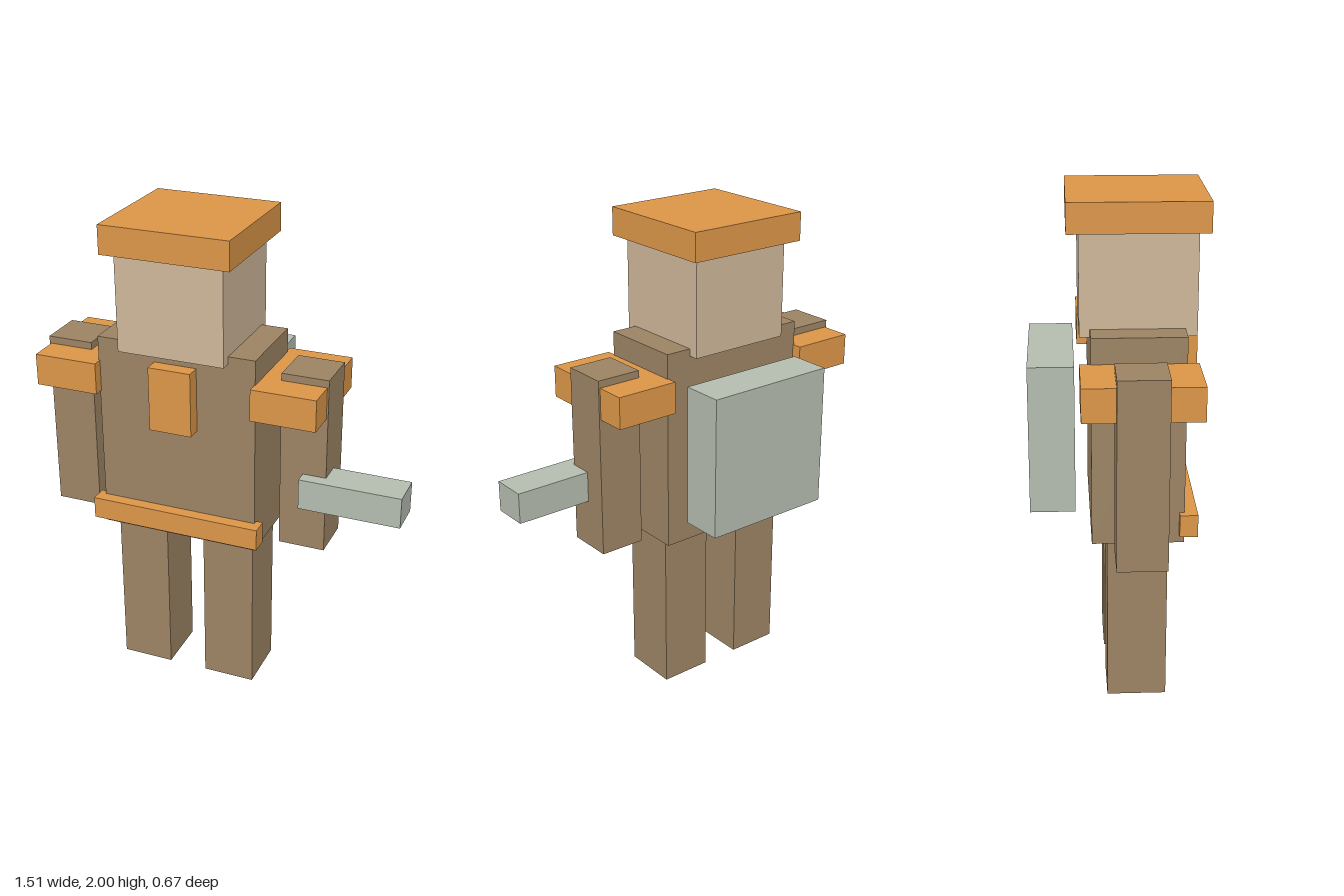
import * as THREE from 'three';

const CX = -0.16; // body centre line; the held tool reaches out to +x

export function createModel() {
  const group = new THREE.Group();
  const mat = (color) => new THREE.MeshStandardMaterial({ color, flatShading: true });
  const cloth = mat(0x9c8464), skin = mat(0xcfb799), orange = mat(0xdc9648), metal = mat(0xb4bcaf);

  // Box given by its extents on each axis
  const box = (name, material, [x0, x1], [y0, y1], [z0, z1]) => {
    const mesh = new THREE.Mesh(new THREE.BoxGeometry(x1 - x0, y1 - y0, z1 - z0), material);
    mesh.position.set((x0 + x1) / 2, (y0 + y1) / 2, (z0 + z1) / 2);
    mesh.name = name;
    group.add(mesh);
  };
  // Box centred on the body, given by its half width
  const centred = (name, material, half, y, z) => box(name, material, [CX - half, CX + half], y, z);

  // Torso, head and cap
  centred('torso', cloth, 0.33, [0.695, 1.52], [-0.105, 0.25]);
  centred('head', skin, 0.22, [1.49, 1.89], [-0.145, 0.295]);
  centred('cap', orange, 0.262, [1.885, 2], [-0.19, 0.335]);

  // Trim on the front, pack on the back
  centred('chestBadge', orange, 0.088, [1.185, 1.45], [0.23, 0.31]);
  centred('belt', orange, 0.358, [0.73, 0.82], [0.23, 0.3]);
  centred('backpack', metal, 0.28, [0.81, 1.395], [-0.34, -0.165]);

  // Mirrored limbs and shoulder pads
  for (const [side, s] of [['left', 1], ['right', -1]]) {
    const span = (a, b) => (s > 0 ? [CX + a, CX + b] : [CX - b, CX - a]);
    box(side + 'Leg', cloth, span(0.082, 0.3), [0, 0.7], [-0.045, 0.19]);
    box(side + 'Arm', cloth, span(0.405, 0.595), [0.71, 1.45], [-0.022, 0.168]);
    box(side + 'ShoulderPad', orange, span(0.325, 0.588), [1.29, 1.42], [-0.147, 0.293]);
  }

  // Tool held in the left arm
  box('heldTool', metal, [0.34, 0.753], [0.91, 1.037], [0.073, 0.22]);

  return group;
}
